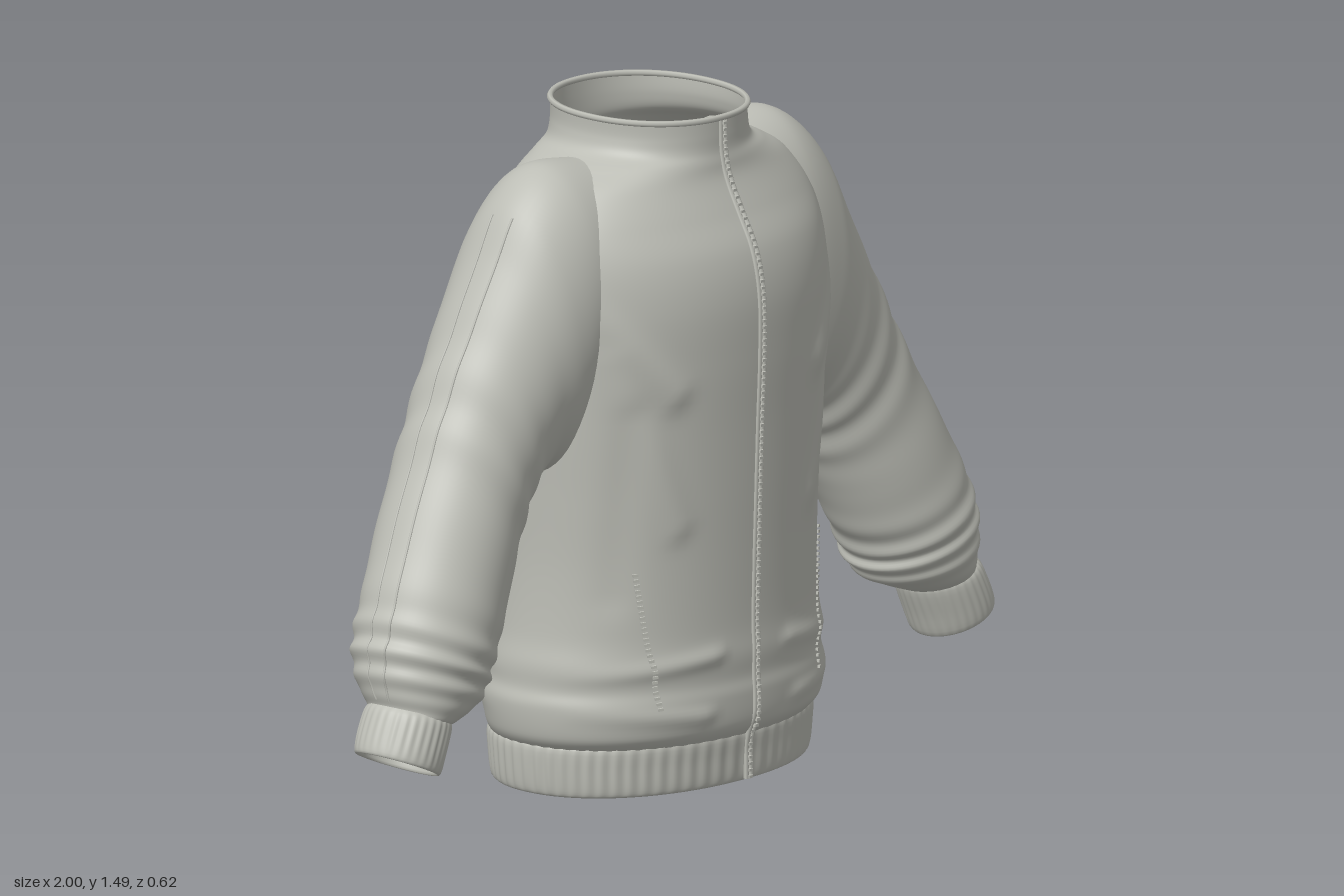
import * as THREE from 'three';

const TAU = Math.PI * 2;

// Smooth interpolation of table rows, t in 0..1
function sample(table, t) {
  const n = table.length - 1, f = Math.min(Math.max(t, 0), 1) * n;
  const i = Math.min(Math.floor(f), n - 1), u = f - i;
  const row = k => table[Math.min(Math.max(k, 0), n)];
  const [a, b, c, d] = [row(i - 1), row(i), row(i + 1), row(i + 2)];
  return b.map((_, k) => 0.5 * (2 * b[k] + (c[k] - a[k]) * u
    + (2 * a[k] - 5 * b[k] + 4 * c[k] - d[k]) * u * u
    + (3 * b[k] - a[k] - 3 * c[k] + d[k]) * u * u * u));
}

// Skin of closed rings; point(t, angle) returns a Vector3
function loft(point, rows, cols) {
  const pos = [], idx = [];
  for (let i = 0; i <= rows; i++) {
    for (let j = 0; j < cols; j++) pos.push(...point(i / rows, j / cols * TAU).toArray());
  }
  for (let i = 0; i < rows; i++) {
    for (let j = 0; j < cols; j++) {
      const k = (j + 1) % cols, a = i * cols + j, c = i * cols + k;
      idx.push(a, a + cols, c, c, a + cols, c + cols);
    }
  }
  const g = new THREE.BufferGeometry();
  g.setAttribute('position', new THREE.Float32BufferAttribute(pos, 3));
  g.setIndex(idx);
  g.computeVertexNormals();
  return g;
}

// Torso rows: height, half width, front z, back z
const TORSO = [
  [0.105, 0.405, 0.268, -0.295], [0.135, 0.425, 0.288, -0.3], [0.2, 0.434, 0.292, -0.308],
  [0.24, 0.425, 0.288, -0.304], [0.29, 0.424, 0.29, -0.3], [0.36, 0.412, 0.287, -0.293],
  [0.5, 0.405, 0.29, -0.28], [0.65, 0.408, 0.295, -0.27], [0.8, 0.415, 0.3, -0.27],
  [0.95, 0.42, 0.306, -0.277], [1.08, 0.425, 0.305, -0.28], [1.18, 0.425, 0.285, -0.28],
  [1.26, 0.41, 0.245, -0.268], [1.33, 0.355, 0.21, -0.248], [1.37, 0.28, 0.2, -0.237],
  [1.395, 0.225, 0.195, -0.232], [1.43, 0.208, 0.194, -0.23], [1.472, 0.207, 0.193, -0.23],
];
// Cloth folds on the torso: x1, y1, x2, y2, height, width
const FOLDS = [
  [0.42, 1.12, 0.24, 0.9, 0.014, 0.035], [0.36, 0.98, 0.22, 0.6, 0.01, 0.03],
  [0.42, 0.27, 0.12, 0.3, 0.008, 0.02], [0.4, 0.19, 0.15, 0.17, 0.008, 0.02],
  [0.32, 0.85, 0.34, 0.45, -0.01, 0.035],
];
function foldHeight(x, y) {
  let h = 0;
  for (const [x1, y1, x2, y2, amp, w] of FOLDS) {
    const dx = x2 - x1, dy = y2 - y1;
    const u = Math.min(Math.max(((x - x1) * dx + (y - y1) * dy) / (dx * dx + dy * dy), 0), 1);
    const d = Math.hypot(x - x1 - u * dx, y - y1 - u * dy);
    h += amp * Math.exp(-d * d / (w * w));
  }
  return h;
}
const bulge = v => Math.sign(v) * Math.abs(v) ** 0.94;
function torsoPoint(t, a) {
  const [y, w, f, b] = sample(TORSO, t);
  const s = Math.sin(a), x = w * bulge(Math.cos(a));
  const z = (f + b) / 2 + (f - b) / 2 * bulge(s) + foldHeight(Math.abs(x), y) * s;
  const tilt = Math.max(0, (y - 1.4) / 0.07) * 0.007;
  return new THREE.Vector3(x, y - s * tilt, z);
}
// Front surface point of the torso at x, y
function onFront(x, y) {
  let lo = 0, hi = 1;
  for (let i = 0; i < 24; i++) {
    const m = (lo + hi) / 2;
    if (sample(TORSO, m)[0] < y) lo = m; else hi = m;
  }
  const w = sample(TORSO, lo)[1], c = Math.abs(x / w) ** (1 / 0.94);
  const p = torsoPoint(lo, Math.acos(Math.sign(x) * c));
  return new THREE.Vector3(x, y, p.z);
}

// Sleeve rows: outer x, y, inner x, y, centre z, z radius
const SLEEVE = [
  [0.24, 1.385, 0.27, 0.95, -0.02, 0.17], [0.37, 1.393, 0.33, 0.8, -0.018, 0.185],
  [0.47, 1.325, 0.385, 0.72, -0.015, 0.18], [0.54, 1.205, 0.43, 0.715, -0.017, 0.172],
  [0.615, 1.075, 0.465, 0.685, -0.018, 0.164], [0.69, 0.945, 0.495, 0.635, -0.016, 0.158],
  [0.755, 0.825, 0.53, 0.57, -0.01, 0.157], [0.84, 0.67, 0.57, 0.495, 0.005, 0.158],
  [0.905, 0.545, 0.612, 0.41, 0.02, 0.156], [0.935, 0.47, 0.645, 0.35, 0.025, 0.158],
  [0.953, 0.41, 0.66, 0.31, 0.028, 0.15], [0.955, 0.35, 0.69, 0.275, 0.035, 0.135],
  [0.945, 0.305, 0.755, 0.25, 0.046, 0.108], [0.948, 0.295, 0.785, 0.24, 0.05, 0.096],
];
// Cuff rows, ending with the turned-in lip
const CUFF = [
  [0.948, 0.305, 0.785, 0.25, 0.05, 0.092], [0.962, 0.29, 0.785, 0.235, 0.051, 0.1],
  [0.985, 0.245, 0.808, 0.18, 0.053, 0.102], [0.998, 0.212, 0.826, 0.136, 0.055, 0.099],
  [0.99, 0.209, 0.834, 0.14, 0.055, 0.09], [0.965, 0.25, 0.812, 0.185, 0.053, 0.088],
];
function sleevePoint(table, side, t, a, extra) {
  const [ox, oy, ix, iy, zc, zr] = sample(table, t);
  const c = Math.cos(a) * extra / 2, s = Math.sin(a) * extra;
  return new THREE.Vector3(side * ((ox + ix) / 2 + c * (ox - ix)),
    (oy + iy) / 2 + c * (oy - iy), zc - side * s * zr);
}
// Gathers: soft rings at the elbow and above the cuff
function gather(t, a) {
  const elbow = Math.exp(-(((t - 0.4) / 0.09) ** 2)), wrist = Math.exp(-(((t - 0.75) / 0.12) ** 2));
  return 1 + 0.02 * elbow * Math.sin(t * 75 + Math.sin(a) * 1.2)
    + 0.03 * wrist * Math.sin(t * 85 + Math.cos(a) * 0.9 + Math.sin(a));
}

// Waistband rows: height, half width, depth radius
const BAND = [
  [0.118, 0.4, 0.272], [0.105, 0.411, 0.284], [0.06, 0.41, 0.281], [0.015, 0.405, 0.278],
  [0, 0.398, 0.273], [0.006, 0.388, 0.263], [0.06, 0.394, 0.266], [0.112, 0.397, 0.268],
];
function bandPoint(t, a) {
  const [y, w, d] = sample(BAND, t), rib = 1 + 0.006 * Math.cos(a * 64) * Math.sin(Math.PI * Math.min(1, t * 1.7));
  return new THREE.Vector3(w * rib * bulge(Math.cos(a)), y, -0.015 - d * rib * bulge(Math.sin(a)));
}

export function createModel() {
  const cloth = new THREE.MeshStandardMaterial({ color: 0xbcbdb5, side: THREE.DoubleSide });
  cloth.name = 'grey cloth';
  const jacket = new THREE.Group();
  jacket.name = 'jacket';
  const add = (name, geometry, parent = jacket) => {
    const m = new THREE.Mesh(geometry, cloth);
    m.name = name;
    parent.add(m);
    return m;
  };
  const tube = (points, r, closed = false) => new THREE.TubeGeometry(
    new THREE.CatmullRomCurve3(points, closed), points.length * 2, r, 6, closed);

  add('torso', loft(torsoPoint, 130, 128));
  add('waistband', loft(bandPoint, 28, 384));

  // Collar rim
  const rim = [];
  for (let i = 0; i < 40; i++) rim.push(torsoPoint(1, i / 40 * TAU));
  add('collarRim', tube(rim, 0.007, true));

  // Front zip: two tapes and a row of teeth
  const zip = new THREE.Group();
  zip.name = 'frontZip';
  jacket.add(zip);
  const tooth = new THREE.BoxGeometry(0.012, 0.006, 0.01);
  const zipPoint = (x, y) => y < 0.11 ? new THREE.Vector3(x, y, 0.267) : onFront(x, y);
  for (const side of [-1, 1]) {
    const pts = [];
    for (let i = 0; i <= 40; i++) pts.push(zipPoint(side * 0.007, 0.004 + i / 40 * 1.455));
    add('zipTape', tube(pts, 0.006), zip);
  }
  for (let i = 0; i < 100; i++) {
    const p = zipPoint(0, 0.008 + i * 0.0146);
    add('zipTooth', tooth, zip).position.set(0, p.y, p.z + 0.004);
  }

  for (const side of [-1, 1]) {
    const label = side > 0 ? 'left' : 'right';

    // Pocket zip
    const pocket = new THREE.Group();
    pocket.name = label + 'Pocket';
    jacket.add(pocket);
    for (let i = 0; i < 26; i++) {
      const p = onFront(side * (0.26 + 0.04 * i / 25), 0.2 + 0.3 * i / 25);
      const m = add('pocketTooth', tooth, pocket);
      m.position.copy(p);
      m.rotation.set(0, side * 0.5, -side * 0.13);
    }

    // Sleeve, ribbed cuff and the piping down the outer arm
    add(label + 'Sleeve', loft((t, a) => sleevePoint(SLEEVE, side, t, a, gather(t, a)), 120, 64));
    add(label + 'Cuff', loft((t, a) =>
      sleevePoint(CUFF, side, t, a, 1 + 0.012 * Math.cos(a * 30) * Math.sin(Math.PI * Math.min(1, t * 1.6))), 20, 180));
    for (const offset of [-0.16, 0.16]) {
      const pts = [];
      for (let i = 0; i <= 50; i++) {
        const t = 0.17 + i / 50 * 0.73;
        pts.push(sleevePoint(SLEEVE, side, t, offset, gather(t, offset)));
      }
      add(label + 'SleevePiping', tube(pts, 0.003));
    }
  }
  return jacket;
}
